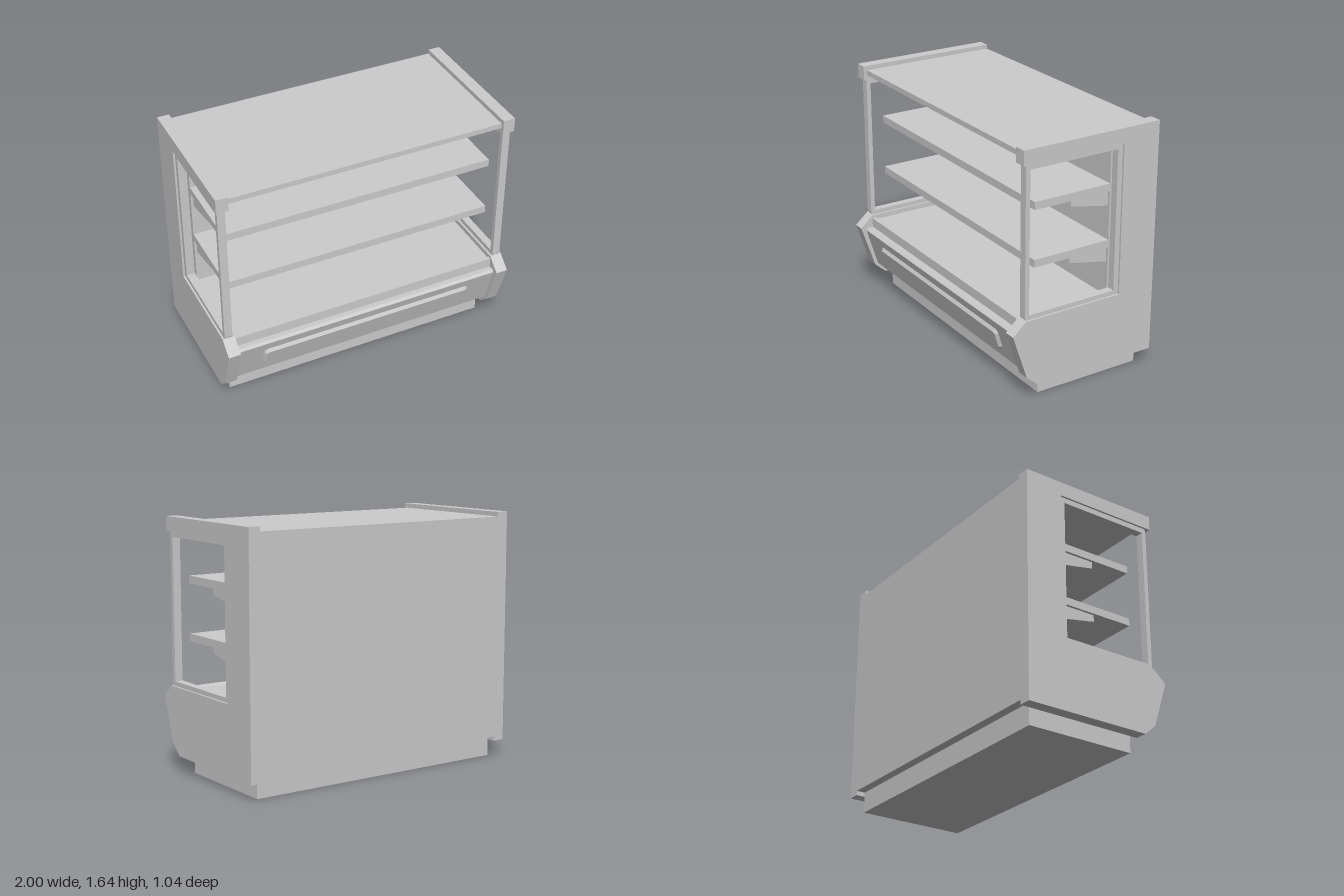
import * as THREE from 'three';

export function createModel() {
  const group = new THREE.Group();
  group.name = 'displayCabinet';
  const grey = new THREE.MeshStandardMaterial({ color: 0xcccccc });
  grey.name = 'paintedGrey';

  const add = (name, geometry) => {
    const mesh = new THREE.Mesh(geometry, grey);
    mesh.name = name;
    group.add(mesh);
    return mesh;
  };

  // Box given by its limits on each axis
  const box = (name, x0, x1, y0, y1, z0, z1) => {
    const g = new THREE.BoxGeometry(x1 - x0, y1 - y0, z1 - z0);
    g.translate((x0 + x1) / 2, (y0 + y1) / 2, (z0 + z1) / 2);
    return add(name, g);
  };

  // Side profile of [z, y] points extruded from x0 to x1
  const toPoints = (list) => list.map(([z, y]) => new THREE.Vector2(z, y));
  const profile = (name, points, x0, x1, hole) => {
    const shape = new THREE.Shape(toPoints(points));
    if (hole) shape.holes.push(new THREE.Path(toPoints(hole)));
    const g = new THREE.ExtrudeGeometry(shape, { depth: x1 - x0, bevelEnabled: false });
    g.rotateY(-Math.PI / 2);
    g.translate(x1, 0, 0);
    return add(name, g);
  };

  // Plinth, back wall and roof
  box('plinth', -0.92, 0.92, 0, 0.14, -0.46, 0.285);
  box('backWall', -0.92, 0.92, 0.14, 1.58, -0.52, -0.225);
  box('roof', -0.92, 0.92, 1.58, 1.615, -0.52, 0.43);

  // Lower body with folded front, ledge and raised deck lip
  profile('lowerBody', [
    [-0.225, 0.14], [0.335, 0.14], [0.40, 0.19], [0.48, 0.46], [0.465, 0.475],
    [0.43, 0.475], [0.43, 0.54], [0.405, 0.54], [0.395, 0.527], [-0.225, 0.527],
  ], -0.92, 0.92);

  // Bevelled panel on the sloping front
  const bevel = 0.018;
  const w = 0.74 - bevel, h = 0.078 - bevel, c = 0.012;
  const outline = new THREE.Shape([
    [-w + c, -h], [w - c, -h], [w, -h + c], [w, h - c],
    [w - c, h], [-w + c, h], [-w, h - c], [-w, -h + c],
  ].map(([x, y]) => new THREE.Vector2(x, y)));
  const panel = add('frontPanel', new THREE.ExtrudeGeometry(outline, {
    depth: 0.002, bevelEnabled: true, bevelThickness: bevel, bevelSize: bevel, bevelSegments: 1,
  }));
  panel.rotation.x = Math.atan2(0.08, 0.27);
  panel.position.set(0, 0.326, 0.439);

  // C-shaped end panels, window frames and shelf brackets on both sides
  const endOutline = [
    [-0.52, 0.11], [0.34, 0.11], [0.42, 0.18], [0.52, 0.48], [0.43, 0.56], [-0.26, 0.56],
    [-0.26, 1.55], [0.455, 1.55], [0.455, 1.645], [-0.52, 1.645],
  ];
  const frameOutline = [
    [-0.26, 0.56], [0.42, 0.56], [0.43, 0.572], [0.43, 1.538], [0.42, 1.55], [-0.26, 1.55],
  ];
  const frameHole = [[-0.225, 0.59], [-0.225, 1.515], [0.40, 1.515], [0.40, 0.59]];
  const shelfHeights = [0.855, 1.225];

  for (const [side, s] of [['left', 1], ['right', -1]]) {
    const span = (a, b) => (s > 0 ? [a, b] : [-b, -a]);
    profile(side + 'EndPanel', endOutline, ...span(0.92, 1));
    profile(side + 'WindowFrame', frameOutline, ...span(0.935, 0.987), frameHole);
    for (const y of shelfHeights) {
      profile(side + 'ShelfBracket',
        [[-0.225, y - 0.1], [0.05, y - 0.045], [0.05, y], [-0.225, y]], ...span(0.873, 0.903));
    }
  }

  // Shelves
  for (const y of shelfHeights) box('shelf', -0.92, 0.92, y, y + 0.05, -0.225, 0.32);

  return group;
}
